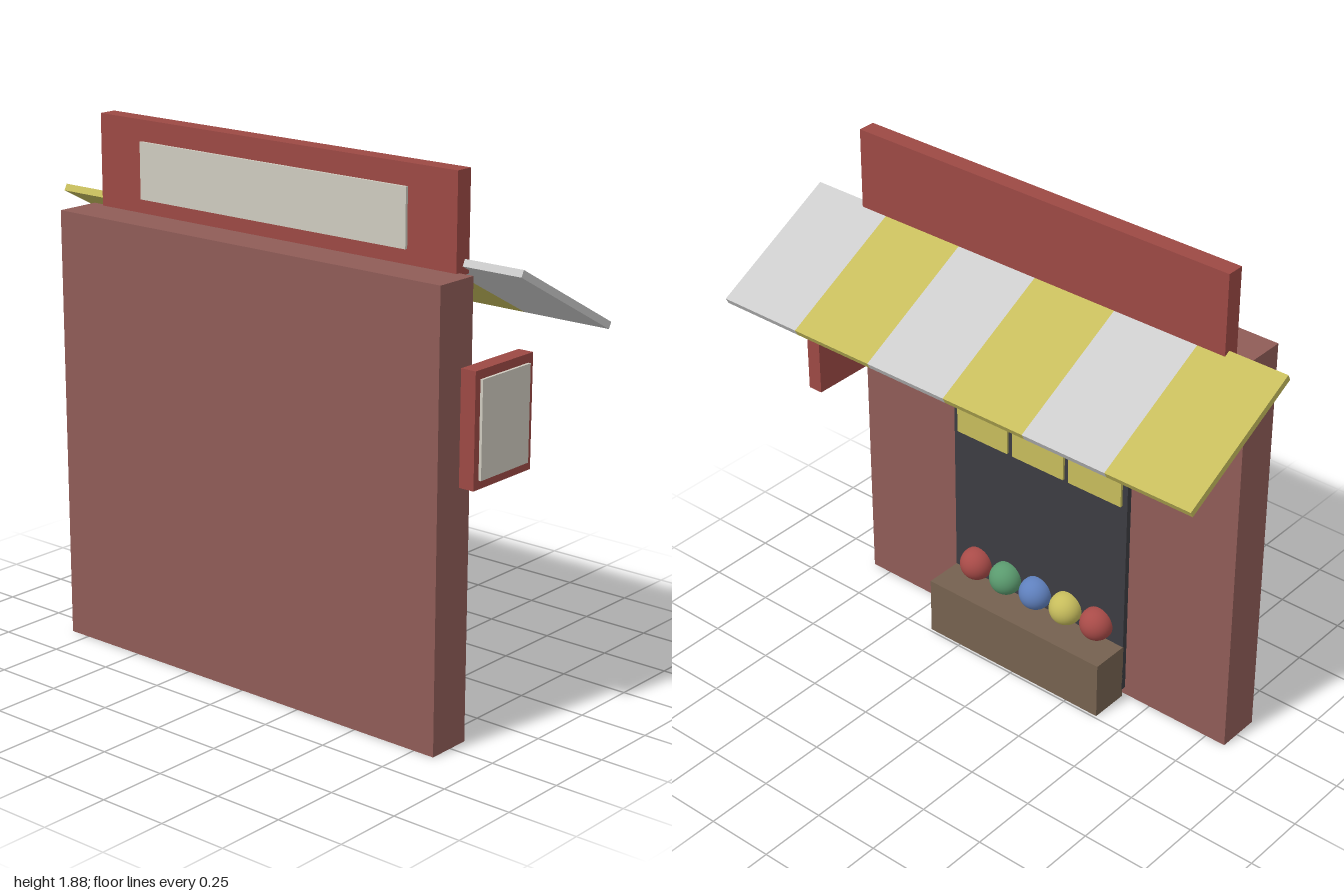
import * as THREE from 'three';

const COLORS = {
  wall: 0x8f5c57, trim: 0x9c4944, panel: 0xcfcbbf, yellow: 0xc6bc5c, white: 0xe2e1df,
  dark: 0x3c3c42, wood: 0x75614f, orange: 0xe07b50, red: 0xa84b48, green: 0x5a9a6e, blue: 0x5f80bd,
};
const materials = {};
for (const [name, color] of Object.entries(COLORS)) {
  materials[name] = new THREE.MeshStandardMaterial({ color });
}

// Box given by its lower and upper limits on each axis
function box(name, mat, [x0, x1], [y0, y1], [z0, z1]) {
  const mesh = new THREE.Mesh(new THREE.BoxGeometry(x1 - x0, y1 - y0, z1 - z0), materials[mat]);
  mesh.position.set((x0 + x1) / 2, (y0 + y1) / 2, (z0 + z1) / 2);
  mesh.name = name;
  return mesh;
}

function ball(name, mat, radius, x, y, z) {
  const mesh = new THREE.Mesh(new THREE.SphereGeometry(radius, 32, 20), materials[mat]);
  mesh.position.set(x, y, z);
  mesh.name = name;
  return mesh;
}

export function createModel() {
  const model = new THREE.Group();
  model.name = 'shopFront';

  // Wall slab and recessed-looking doorway on its back
  model.add(
    box('wall', 'wall', [-0.83, 0.83], [0, 1.56], [0.175, 0.34]),
    box('doorway', 'dark', [-0.39, 0.39], [0.03, 1.15], [0.155, 0.18]),
  );

  // Roof sign board with its pale panel
  model.add(
    box('signBoard', 'trim', [-0.775, 0.775], [1.55, 1.885], [0.125, 0.19]),
    box('signPanel', 'panel', [-0.58, 0.58], [1.61, 1.81], [0.185, 0.2]),
  );

  // Sloping awning made of six stripes
  const awning = new THREE.Group();
  awning.name = 'awning';
  const stripe = 2 / 6;
  for (let i = 0; i < 6; i++) {
    const x = -1 + i * stripe;
    awning.add(box('awningStripe', i % 2 ? 'white' : 'yellow',
      [x, x + stripe], [-0.0125, 0.0125], [-0.2755, 0.2755]));
  }
  awning.position.set(0, 1.46, -0.09);
  awning.rotation.x = -0.49;
  model.add(awning);

  // Projecting side sign
  model.add(
    box('sideSign', 'trim', [0.838, 0.895], [0.89, 1.28], [-0.06, 0.24]),
    box('sideSignPanel', 'panel', [0.89, 0.905], [0.92, 1.25], [-0.035, 0.215]),
  );

  // Three cloth flaps over the doorway
  for (let i = -1; i <= 1; i++) {
    const x = i * 0.253;
    model.add(box('doorCloth', 'yellow', [x - 0.115, x + 0.115], [0.82, 1.13], [0.145, 0.157]));
  }

  // Display crate with a row of round goods
  model.add(box('crate', 'wood', [-0.39, 0.39], [0, 0.222], [0.01, 0.158]));
  ['red', 'green', 'blue', 'yellow', 'red'].forEach((color, i) => {
    model.add(ball('goods', color, 0.0625, (2 - i) * 0.14, 0.282, 0.143));
  });

  // Hanging lantern, slightly taller than wide
  const lantern = ball('lantern', 'orange', 0.088, -0.67, 1.15, 0.068);
  lantern.scale.y = 1.2;
  model.add(lantern);

  return model;
}
